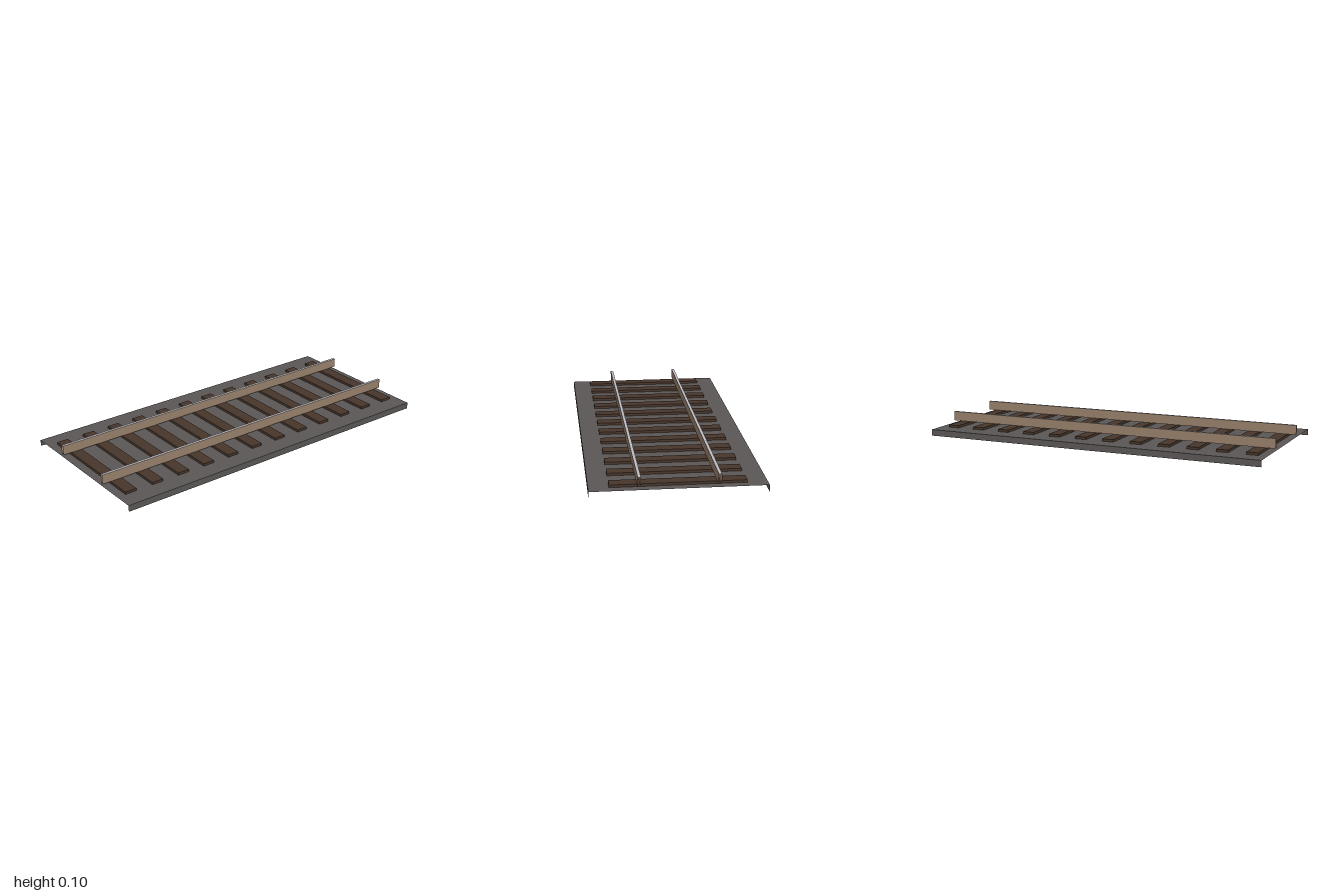
import * as THREE from 'three';

const material = (name, color, side = THREE.DoubleSide) => {
  const m = new THREE.MeshStandardMaterial({ color, side });
  m.name = name;
  return m;
};

// Flat sheet running the full length of the track
function sheet(parent, name, mat, size, y, z, upright) {
  const geometry = new THREE.PlaneGeometry(2, size);
  if (!upright) geometry.rotateX(-Math.PI / 2);
  else if (upright < 0) geometry.rotateY(Math.PI);
  const mesh = new THREE.Mesh(geometry, mat);
  mesh.name = name;
  mesh.position.set(0, y, z);
  parent.add(mesh);
}

export function createModel() {
  const gravel = material('gravel grey', 0x5a5755);
  const timber = material('dark timber', 0x46352b, THREE.FrontSide);
  const rust = material('rusty brown', 0x98806a);
  const steel = material('polished steel', 0xbcbcc4);

  const model = new THREE.Group();
  model.name = 'railwayTrack';

  // Bed: open-ended sheet with a skirt along both long sides
  const bed = new THREE.Group();
  bed.name = 'bed';
  const bedTop = 0.036, bedHalf = 0.457;
  sheet(bed, 'bedTop', gravel, bedHalf * 2, bedTop, 0, 0);
  for (const s of [1, -1]) sheet(bed, 'bedSkirt', gravel, bedTop, bedTop / 2, s * bedHalf, s);
  model.add(bed);

  // Sleepers: twelve evenly spaced planks, sunk slightly through the bed
  const sleepers = new THREE.Group();
  sleepers.name = 'sleepers';
  const plank = new THREE.BoxGeometry(0.068, 0.018, 0.704);
  for (let i = 0; i < 12; i++) {
    const sleeper = new THREE.Mesh(plank, timber);
    sleeper.name = 'sleeper';
    sleeper.position.set((i - 5.5) / 6, 0.041, 0);
    sleepers.add(sleeper);
  }
  model.add(sleepers);

  // Rails: open-ended channels with a polished running surface
  const railBase = 0.05, railTop = 0.104, railWidth = 0.016;
  for (const [name, z] of [['frontRail', 0.203], ['backRail', -0.205]]) {
    const rail = new THREE.Group();
    rail.name = name;
    for (const s of [1, -1]) {
      sheet(rail, 'railSide', rust, railTop - railBase, (railTop + railBase) / 2, s * railWidth / 2, s);
    }
    sheet(rail, 'railHead', steel, railWidth, railTop, 0, 0);
    rail.position.z = z;
    model.add(rail);
  }

  return model;
}
